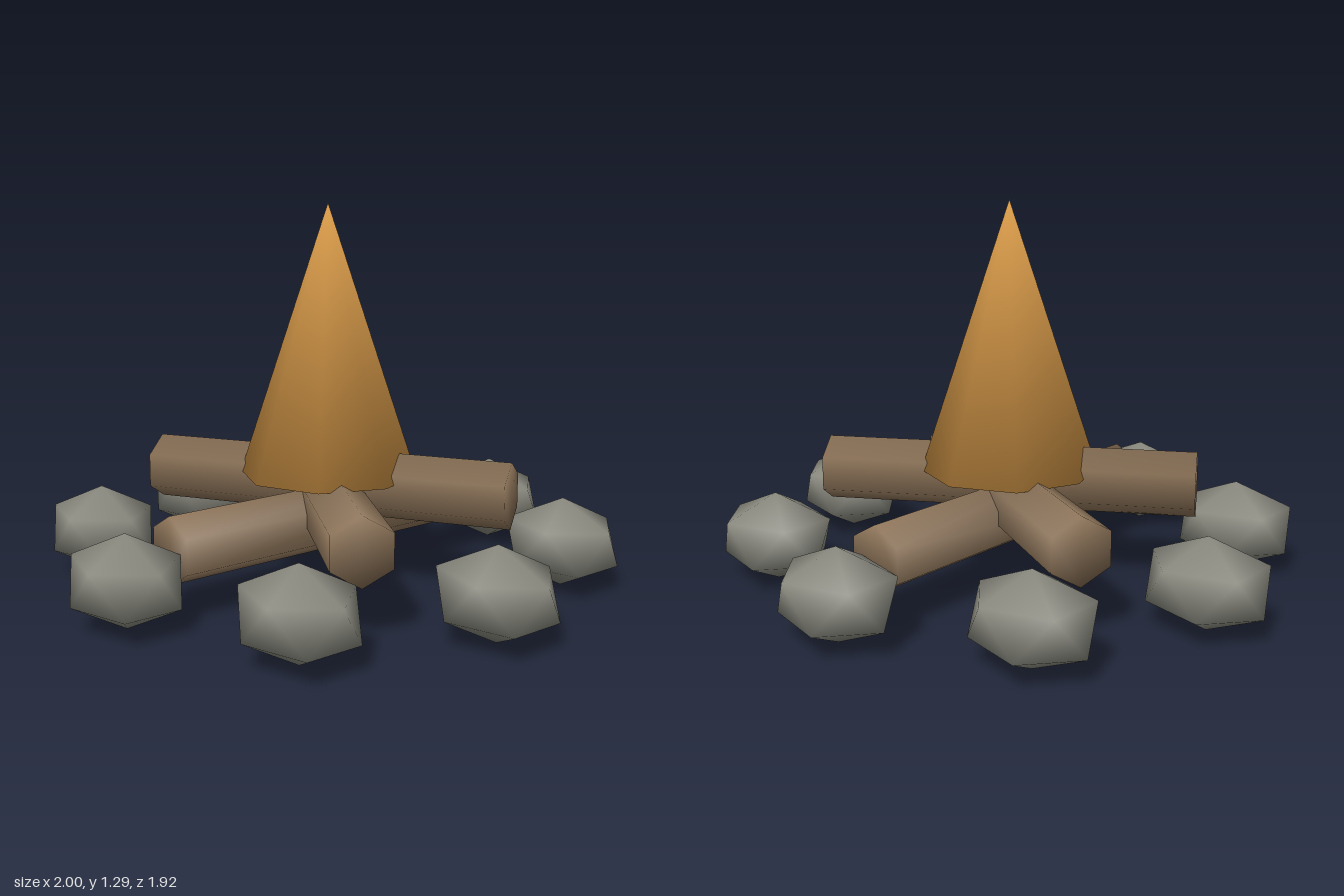
import * as THREE from 'three';
import { mergeVertices } from 'three/addons/utils/BufferGeometryUtils.js';
import { ConvexGeometry } from 'three/addons/geometries/ConvexGeometry.js';

// Regular ring of points at height y
function ring(sides, radius, y, offset = 0) {
  return Array.from({ length: sides }, (_, i) => {
    const a = offset + (i / sides) * Math.PI * 2;
    return new THREE.Vector3(Math.cos(a) * radius, y, Math.sin(a) * radius);
  });
}

// Closed convex low-poly solid, smooth across every edge (angle-weighted normals)
function smoothSolid(points) {
  const hull = new ConvexGeometry(points);
  hull.deleteAttribute('normal');
  const geo = mergeVertices(hull, 1e-4);
  const pos = geo.attributes.position;
  const index = geo.index.array;
  const sums = Array.from({ length: pos.count }, () => new THREE.Vector3());
  for (let f = 0; f < index.length; f += 3) {
    const ids = [index[f], index[f + 1], index[f + 2]];
    const p = ids.map((id) => new THREE.Vector3().fromBufferAttribute(pos, id));
    const normal = new THREE.Triangle(...p).getNormal(new THREE.Vector3());
    ids.forEach((id, k) => {
      const u = p[(k + 1) % 3].clone().sub(p[k]);
      const v = p[(k + 2) % 3].clone().sub(p[k]);
      sums[id].addScaledVector(normal, u.angleTo(v));
    });
  }
  const normals = sums.flatMap((n) => n.normalize().toArray());
  geo.setAttribute('normal', new THREE.Float32BufferAttribute(normals, 3));
  return geo;
}

function material(name, color) {
  const m = new THREE.MeshStandardMaterial({ color });
  m.name = name;
  return m;
}

export function createModel() {
  const model = new THREE.Group();
  model.name = 'campfire';
  const stoneGrey = material('stoneGrey', 0x8b8b81);
  const woodBrown = material('woodBrown', 0x8c7358);
  const flameOrange = material('flameOrange', 0xe0a04c);

  function add(name, geometry, mat, parent = model) {
    const mesh = new THREE.Mesh(geometry, mat);
    mesh.name = name;
    parent.add(mesh);
    return mesh;
  }

  // Circle of eight squashed icosahedral stones, all facing the same way
  const stones = new THREE.Group();
  stones.name = 'stoneCircle';
  model.add(stones);
  const h = 1 / Math.sqrt(5);
  const stoneGeo = smoothSolid([
    new THREE.Vector3(0, 1, 0),
    ...ring(5, 2 * h, h),
    ...ring(5, 2 * h, -h, Math.PI),
    new THREE.Vector3(0, -1, 0),
  ]);
  for (let i = 0; i < 8; i++) {
    const a = (i / 8) * Math.PI * 2;
    const stone = add('stone', stoneGeo, stoneGrey, stones);
    stone.scale.set(0.224, 0.153, 0.188);
    stone.position.set(Math.cos(a) * 0.8, 0.153, Math.sin(a) * 0.8);
  }

  // Three hexagonal logs stacked crosswise, built along z with an edge on top
  const logs = new THREE.Group();
  logs.name = 'logs';
  model.add(logs);
  const logGeo = smoothSolid(
    [...ring(6, 0.113, -0.64, Math.PI / 2), ...ring(6, 0.113, 0.64, Math.PI / 2)]
      .map((p) => new THREE.Vector3(p.x, p.z, p.y)));
  [[0, 0.218], [60, 0.284], [-60, 0.348]].forEach(([degrees, y]) => {
    const log = add('log', logGeo, woodBrown, logs);
    log.rotation.y = THREE.MathUtils.degToRad(degrees);
    log.position.y = y;
  });

  // Eight-sided flame
  add('flame', smoothSolid([
    ...ring(8, 0.303, 0.375),
    new THREE.Vector3(0, 1.292, 0),
  ]), flameOrange);

  return model;
}
